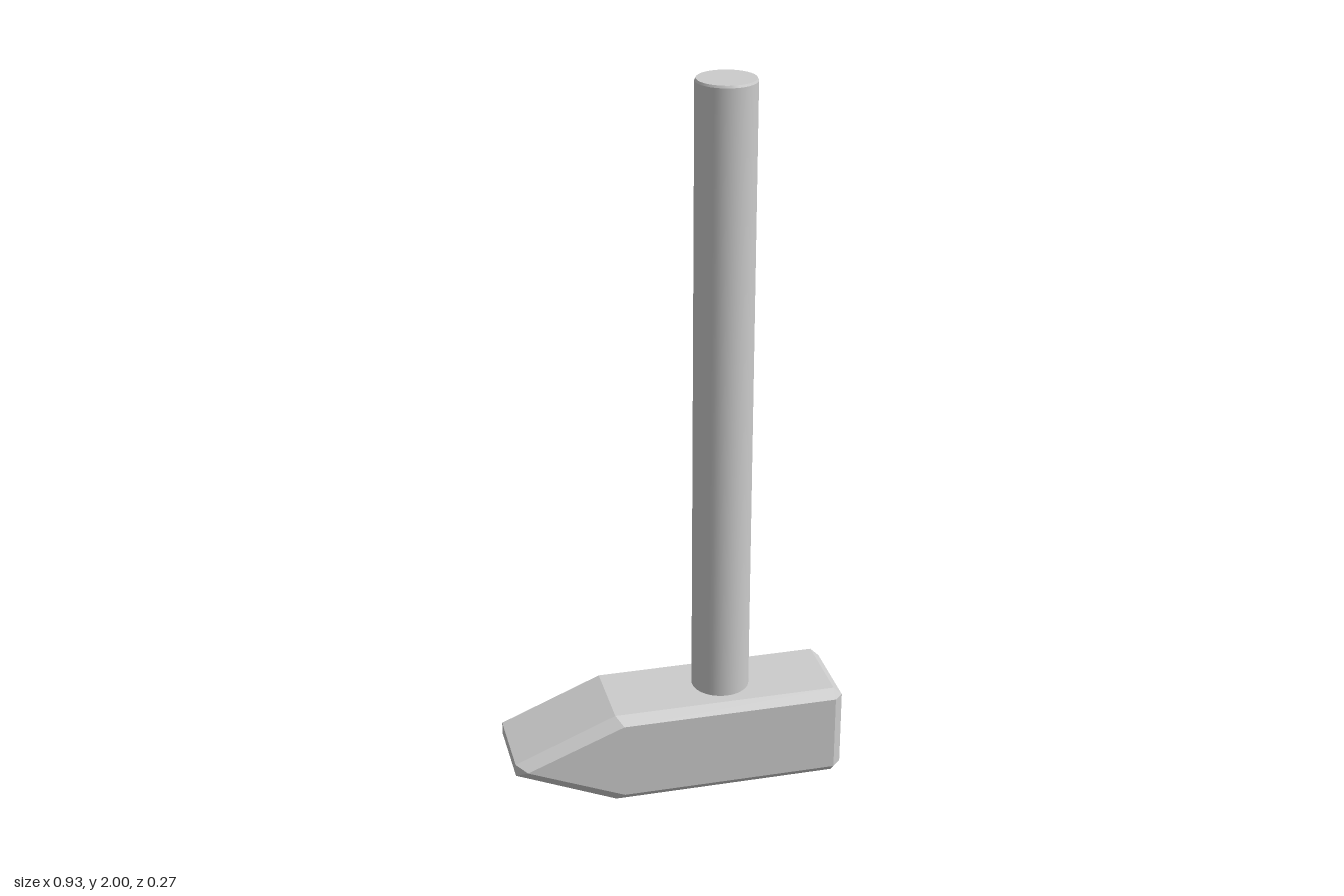
import * as THREE from 'three';
import { ConvexGeometry } from 'three/addons/geometries/ConvexGeometry.js';
import { toCreasedNormals } from 'three/addons/utils/BufferGeometryUtils.js';

const material = new THREE.MeshStandardMaterial({ color: 0xcccccc });

// Chamfered block tapering to a wedge: convex hull of side and inner outlines
function createHead() {
  const side = [[0.44, 0.025], [0.44, 0.245], [-0.165, 0.245], [-0.435, 0.138], [-0.165, 0.025]];
  const inner = [
    [0.465, 0.025], [0.465, 0.245], [0.44, 0.27], [0.44, 0],
    [-0.185, 0.27], [-0.185, 0], [-0.465, 0.155], [-0.465, 0.12],
  ];
  const points = [];
  for (const s of [-1, 1]) {
    for (const [x, y] of side) points.push(new THREE.Vector3(x, y, s * 0.134));
    for (const [x, y] of inner) points.push(new THREE.Vector3(x, y, s * 0.11));
  }
  const head = new THREE.Mesh(new ConvexGeometry(points), material);
  head.name = 'hammerHead';
  return head;
}

// Round shaft with a slightly bevelled top end, seated in the head
function createHandle() {
  const profile = [[0, 0.2], [0.08, 0.2], [0.08, 1.994], [0.077, 2], [0, 2]]
    .map(([r, y]) => new THREE.Vector2(r, y));
  const geometry = toCreasedNormals(new THREE.LatheGeometry(profile, 48), 0.4);
  const handle = new THREE.Mesh(geometry, material);
  handle.name = 'handle';
  handle.position.x = 0.14;
  return handle;
}

export function createModel() {
  const group = new THREE.Group();
  group.name = 'hammer';
  group.add(createHead(), createHandle());
  return group;
}
